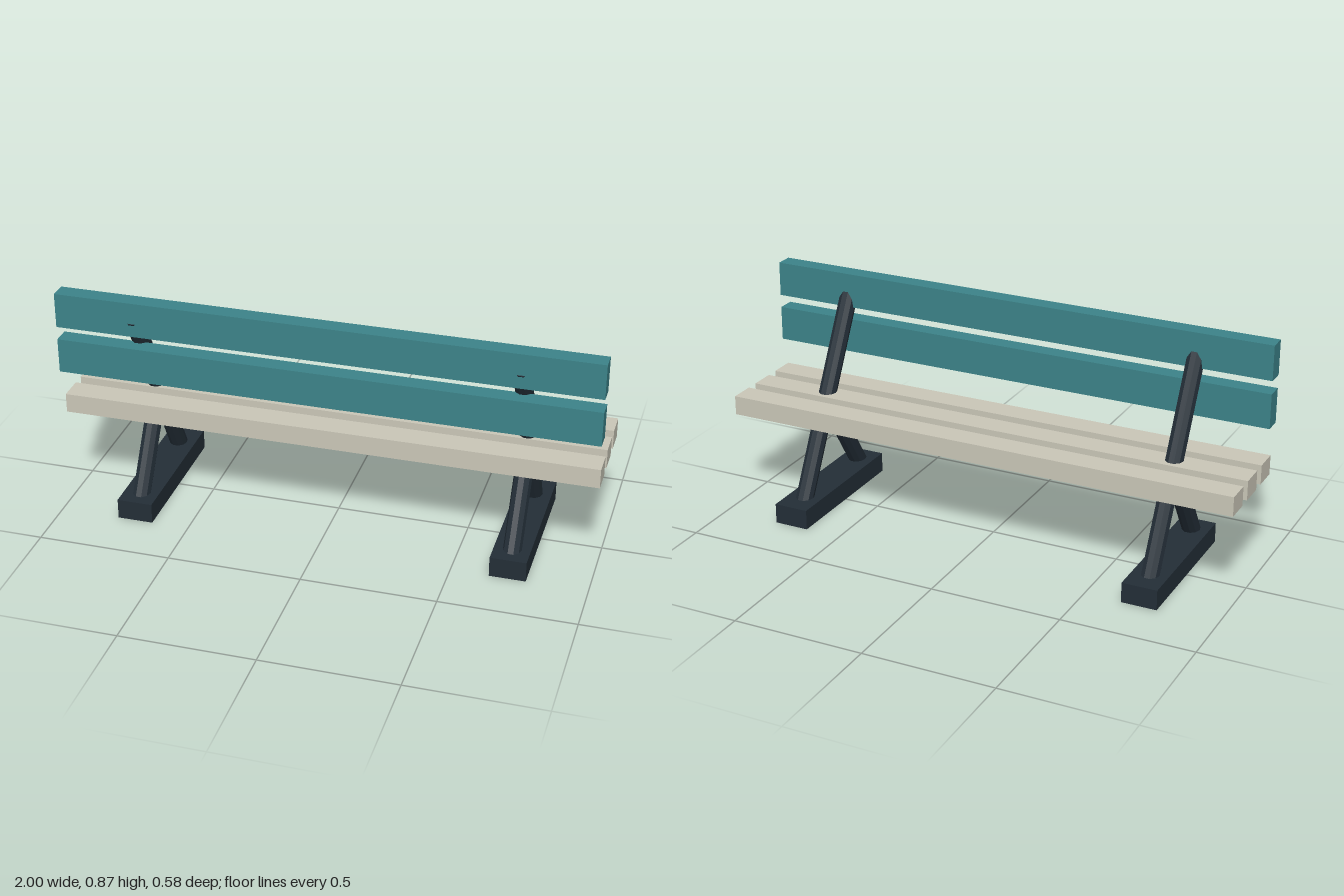
import * as THREE from 'three';

export function createModel() {
  const bench = new THREE.Group();
  bench.name = 'bench';

  const make = (name, color, extra = {}) => new THREE.MeshStandardMaterial({ name, color, ...extra });
  const teal = make('teal paint', 0x3c8389);
  const cream = make('cream paint', 0xcac7b8);
  const iron = make('dark iron', 0x232e37, { flatShading: true });

  function box(parent, name, material, size, position) {
    const mesh = new THREE.Mesh(new THREE.BoxGeometry(...size), material);
    mesh.name = name;
    mesh.position.set(...position);
    parent.add(mesh);
  }

  // Ten-sided bar between two (y, z) points, with a flat side to the front
  function bar(parent, name, [y0, z0], [y1, z1]) {
    const geometry = new THREE.CylinderGeometry(0.034, 0.034, Math.hypot(y1 - y0, z1 - z0), 10);
    geometry.rotateY(Math.PI / 2);
    const mesh = new THREE.Mesh(geometry, iron);
    mesh.name = name;
    mesh.position.set(0, (y0 + y1) / 2, (z0 + z1) / 2);
    mesh.rotation.x = Math.atan2(z1 - z0, y1 - y0);
    parent.add(mesh);
  }

  // Seat: three slats
  for (const z of [-0.143, 0, 0.143]) {
    box(bench, 'seatSlat', cream, [2, 0.074, 0.096], [0, 0.403, z]);
  }

  // Backrest: two upright boards
  for (const y of [0.619, 0.801]) {
    box(bench, 'backBoard', teal, [2, 0.132, 0.066], [0, y, 0.193]);
  }

  // Supports: foot, long leaning post and short strut on each side
  for (const side of [-1, 1]) {
    const support = new THREE.Group();
    support.name = side > 0 ? 'leftSupport' : 'rightSupport';
    support.position.x = side * 0.708;
    box(support, 'foot', iron, [0.134, 0.077, 0.584], [0, 0.0385, 0]);
    bar(support, 'backPost', [0.04, -0.207], [0.8, 0.2]);
    bar(support, 'frontStrut', [0.04, 0.236], [0.4, 0.006]);
    bench.add(support);
  }

  return bench;
}
